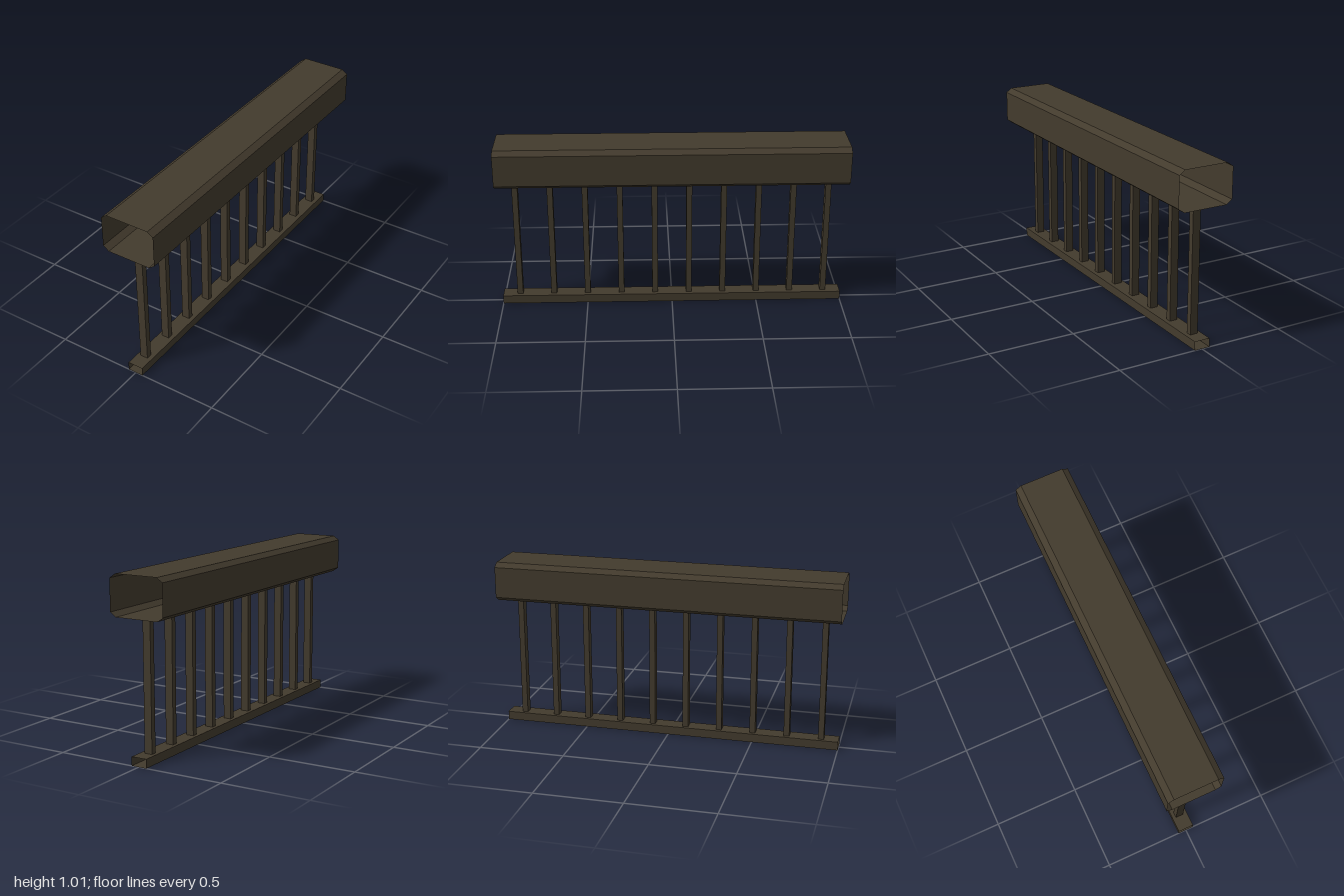
import * as THREE from 'three';

const LENGTH = 2;

// Open-ended tube along z from a counter-clockwise cross-section of [x, y] points
function openTube(profile) {
  const h = LENGTH / 2;
  const pos = [];
  profile.forEach(([ax, ay], i) => {
    const [bx, by] = profile[(i + 1) % profile.length];
    pos.push(ax, ay, h, ax, ay, -h, bx, by, -h);
    pos.push(ax, ay, h, bx, by, -h, bx, by, h);
  });
  const geo = new THREE.BufferGeometry();
  geo.setAttribute('position', new THREE.Float32BufferAttribute(pos, 3));
  geo.computeVertexNormals();
  return geo;
}

export function createModel() {
  const model = new THREE.Group();
  model.name = 'railing';

  const darkWood = new THREE.MeshStandardMaterial({ color: 0x433b2d, side: THREE.DoubleSide });
  darkWood.name = 'darkWood';

  const add = (name, geo, x, y, z) => {
    const mesh = new THREE.Mesh(geo, darkWood);
    mesh.name = name;
    mesh.position.set(x, y, z);
    model.add(mesh);
  };

  // Handrail: hollow beam with chamfered edges
  const w = 0.162, t = 0.128, y0 = 0.78, y1 = 1.006, c = 0.024;
  add('handrail', openTube([
    [-t, y0], [t, y0], [w, y0 + c], [w, y1 - c],
    [t, y1], [-t, y1], [-w, y1 - c], [-w, y0 + c],
  ]), 0, 0, 0);

  // Bottom rail: hollow square bar
  const b = 0.046, bh = 0.05;
  add('bottomRail', openTube([[-b, 0], [b, 0], [b, bh], [-b, bh]]), -0.002, 0, 0);

  // Balusters
  const post = new THREE.BoxGeometry(0.046, y0 - bh, 0.033);
  for (let i = 0; i < 10; i++) {
    add(`baluster${i + 1}`, post, -0.004, (y0 + bh) / 2, 0.9 - i * 0.2);
  }

  return model;
}
